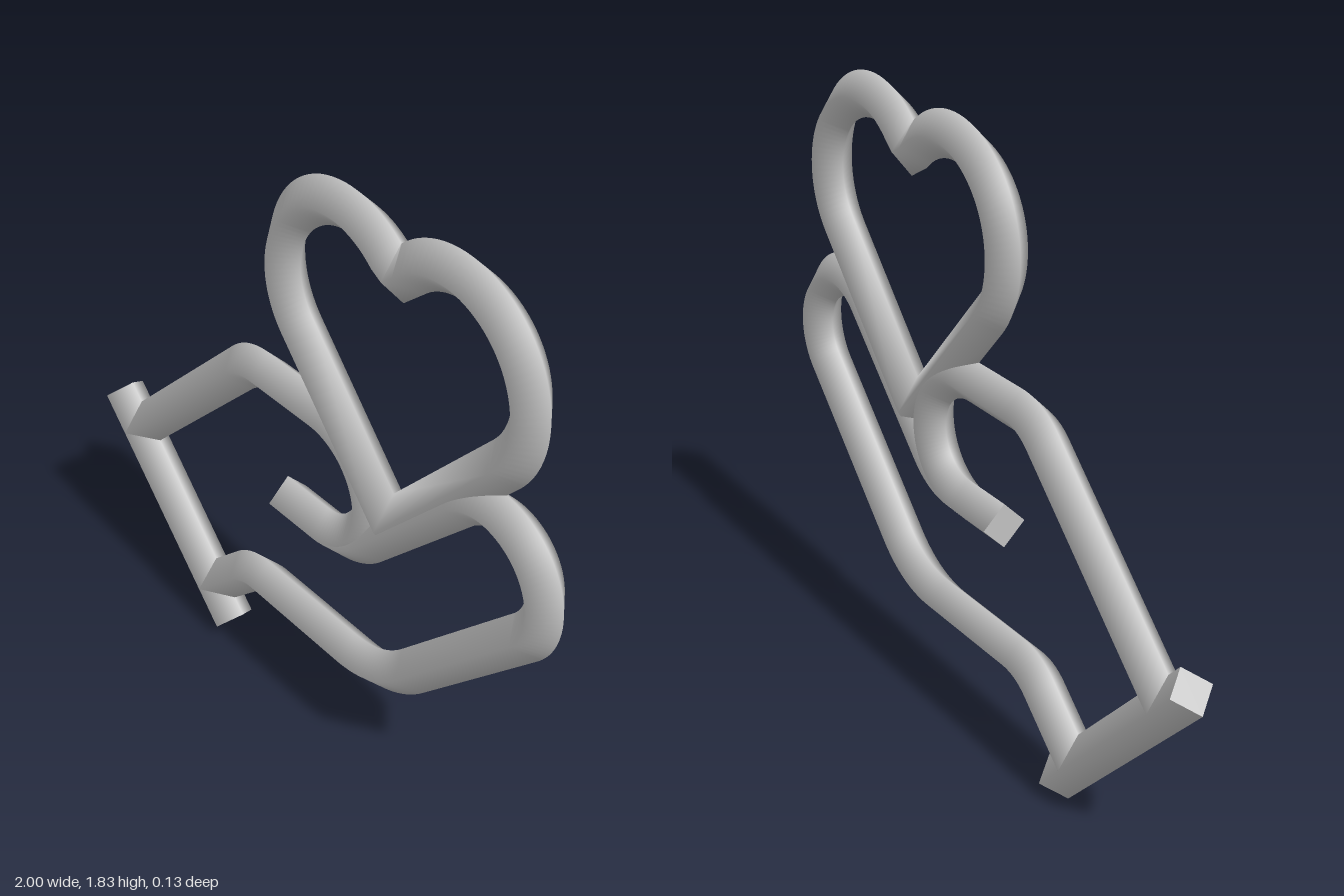
import * as THREE from 'three';

const R = 0.067; // tube radius, diamond cross-section

// Sweep a diamond section with smooth normals along a flat path, mitring sharp corners
function sweep(path, closed = false) {
  const pts = path.getPoints(20).filter((p, i, a) => i === 0 || p.distanceTo(a[i - 1]) > 1e-4);
  if (closed && pts[0].distanceTo(pts[pts.length - 1]) < 1e-4) pts.pop();
  const n = pts.length, pos = [], nor = [], idx = [];
  const dir = i => pts[(i + 1) % n].clone().sub(pts[i % n]).normalize();
  const ring = i => {
    const a = !closed && i === 0 ? dir(0) : dir((i - 1 + n) % n);
    const b = !closed && i === n - 1 ? a : dir(i);
    const t = a.clone().add(b).normalize();
    const w = R / Math.max(0.4, t.dot(a));
    return { p: pts[i], t, corners: [[-t.y, t.x, 0, w], [0, 0, 1, R], [t.y, -t.x, 0, w], [0, 0, -1, R]] };
  };
  const add = (r, normal) => r.corners.forEach(([x, y, z, w]) => {
    pos.push(r.p.x + x * w, r.p.y + y * w, z * w);
    nor.push(...(normal || [x, y, z]));
  });
  for (let i = 0; i < n; i++) add(ring(i));
  for (let i = 0; i < (closed ? n : n - 1); i++) {
    for (let k = 0; k < 4; k++) {
      const j = (i + 1) % n, l = (k + 1) % 4;
      const a = i * 4 + k, b = i * 4 + l, c = j * 4 + l, d = j * 4 + k;
      idx.push(a, b, c, a, c, d);
    }
  }
  if (!closed) { // flat end caps
    const s = ring(0), e = ring(n - 1), o = n * 4;
    add(s, [-s.t.x, -s.t.y, 0]);
    add(e, [e.t.x, e.t.y, 0]);
    idx.push(o, o + 2, o + 1, o, o + 3, o + 2, o + 4, o + 5, o + 6, o + 4, o + 6, o + 7);
  }
  const g = new THREE.BufferGeometry();
  g.setAttribute('position', new THREE.Float32BufferAttribute(pos, 3));
  g.setAttribute('normal', new THREE.Float32BufferAttribute(nor, 3));
  g.setIndex(idx);
  return g;
}

export function createModel() {
  const group = new THREE.Group();
  const grey = new THREE.MeshStandardMaterial({ color: 0xc0c0c0 });
  grey.name = 'light grey';
  const rad = THREE.MathUtils.degToRad;
  const part = (name, path, closed) => {
    const m = new THREE.Mesh(sweep(path, closed), grey);
    m.name = name;
    group.add(m);
  };

  // Straight cuff at the wrist
  part('cuff', new THREE.Path().moveTo(-0.952, 0.618).lineTo(-0.39, 0.05));

  // Back of the hand, curling round into the thumb
  const thumb = new THREE.Path().moveTo(-0.86, 0.525);
  thumb.lineTo(-0.32, 1.03).quadraticCurveTo(-0.265, 1.085, -0.19, 1.085);
  thumb.absarc(0.08, 0.8975, 0.1875, rad(90), rad(-90), true);
  thumb.lineTo(-0.105, 0.71);
  part('thumb', thumb);

  // Fingers and palm, from the inner end round the fingertip to the wrist
  const fingers = new THREE.Path().moveTo(-0.11, 0.71);
  fingers.absarc(0.09, 0.96, 0.25, rad(-90), rad(-45), false);
  fingers.absarc(0.745, 0.99, 0.187, rad(135), rad(-45), true);
  fingers.lineTo(0.458, 0.441).quadraticCurveTo(0.352, 0.335, 0.202, 0.335);
  fingers.lineTo(-0.2, 0.335).quadraticCurveTo(-0.265, 0.335, -0.315, 0.29);
  fingers.lineTo(-0.48, 0.143);
  part('fingersAndPalm', fingers);

  // Heart outline, with sharp corners at the tip and the cleft
  const heart = new THREE.Path().moveTo(0.355, 0.895);
  heart.absarc(0.575, 1.507, 0.26, rad(-43.4), rad(132), false);
  heart.lineTo(0.362, 1.668);
  heart.absarc(0.15, 1.495, 0.26, rad(48), rad(223.1), false);
  heart.lineTo(0.355, 0.895);
  part('heart', heart, true);

  return group;
}
